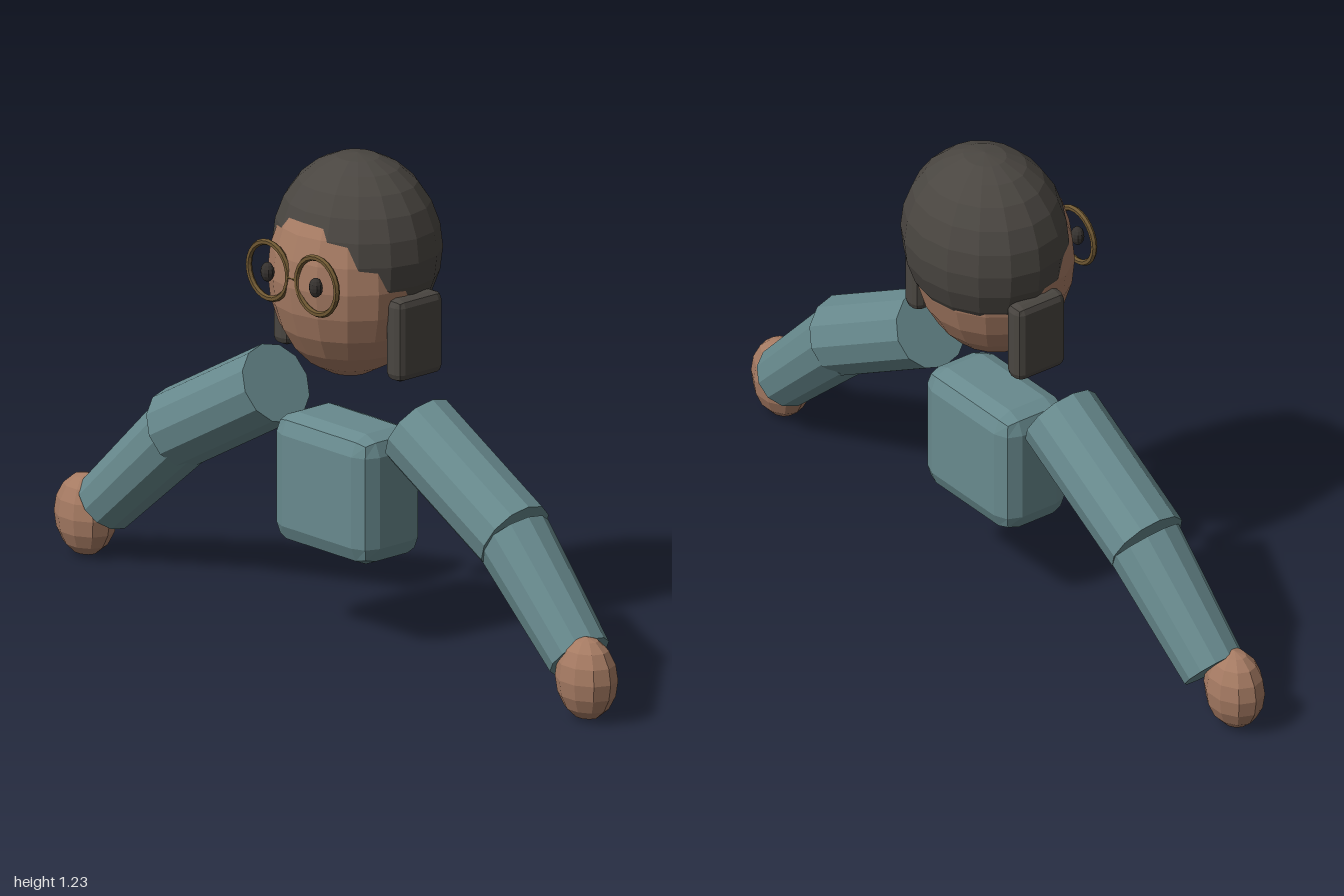
import * as THREE from 'three';
import { RoundedBoxGeometry } from 'three/addons/geometries/RoundedBoxGeometry.js';

export function createModel() {
  const model = new THREE.Group();
  model.name = 'floatingFigure';

  const paint = (name, color, flatShading = true) =>
    new THREE.MeshStandardMaterial({ name, color, flatShading });
  const skin = paint('skin', 0xa67b63);
  const hairBrown = paint('hairBrown', 0x4a4641);
  const teal = paint('tealCloth', 0x688a8e);
  const brass = paint('brass', 0x6e5732);
  const eyeDark = paint('eyeDark', 0x36322f);

  function add(name, geometry, material, x, y, z) {
    const mesh = new THREE.Mesh(geometry, material);
    mesh.name = name;
    mesh.position.set(x, y, z);
    model.add(mesh);
    return mesh;
  }

  function ellipsoid(rx, ry, rz, around, rings) {
    return new THREE.SphereGeometry(1, around, rings).scale(rx, ry, rz);
  }

  // Tapered sleeve running from point a to point b
  function sleeve(name, a, b, ra, rb) {
    const dir = b.clone().sub(a);
    const geometry = new THREE.CylinderGeometry(rb, ra, dir.length(), 12);
    const mid = a.clone().add(b).multiplyScalar(0.5);
    const mesh = add(name, geometry, teal, mid.x, mid.y, mid.z);
    mesh.quaternion.setFromUnitVectors(new THREE.Vector3(0, 1, 0), dir.normalize());
  }

  // Head and the cap of hair that overlaps it
  add('head', ellipsoid(0.206, 0.26, 0.197, 16, 12), skin, 0, 0.932, 0.008);
  add('hair', ellipsoid(0.223, 0.235, 0.199, 16, 12), hairBrown, 0, 1.0, -0.02);

  // Torso
  add('torso', new RoundedBoxGeometry(0.352, 0.335, 0.206, 1, 0.05), teal, 0, 0.388, 0.014);

  for (const s of [1, -1]) {
    const side = s > 0 ? 'left' : 'right';

    // Side hair blocks
    add(side + 'SideHair', new RoundedBoxGeometry(0.058, 0.212, 0.15, 1, 0.02), hairBrown,
      s * 0.206, 0.811, -0.02);

    // Eye and spectacle rim
    add(side + 'Eye', ellipsoid(0.018, 0.025, 0.017, 10, 8), eyeDark, s * 0.088, 0.953, 0.2);
    add(side + 'Rim', new THREE.TorusGeometry(0.072, 0.008, 6, 24), brass, s * 0.088, 0.956, 0.196);

    // Arm in two sleeves, ending in a hand
    sleeve(side + 'UpperArm', new THREE.Vector3(s * 0.26, 0.586, 0.014),
      new THREE.Vector3(s * 0.61, 0.391, 0.014), 0.103, 0.103);
    sleeve(side + 'Forearm', new THREE.Vector3(s * 0.602, 0.388, 0.012),
      new THREE.Vector3(s * 0.86, 0.145, 0.028), 0.097, 0.082);
    add(side + 'Hand', ellipsoid(0.088, 0.106, 0.069, 10, 8), skin, s * 0.912, 0.107, 0.052);
  }

  // Spectacle bridge
  const bridge = add('bridge', new THREE.CylinderGeometry(0.006, 0.006, 0.036, 6), brass, 0, 0.956, 0.197);
  bridge.rotation.z = Math.PI / 2;

  return model;
}
